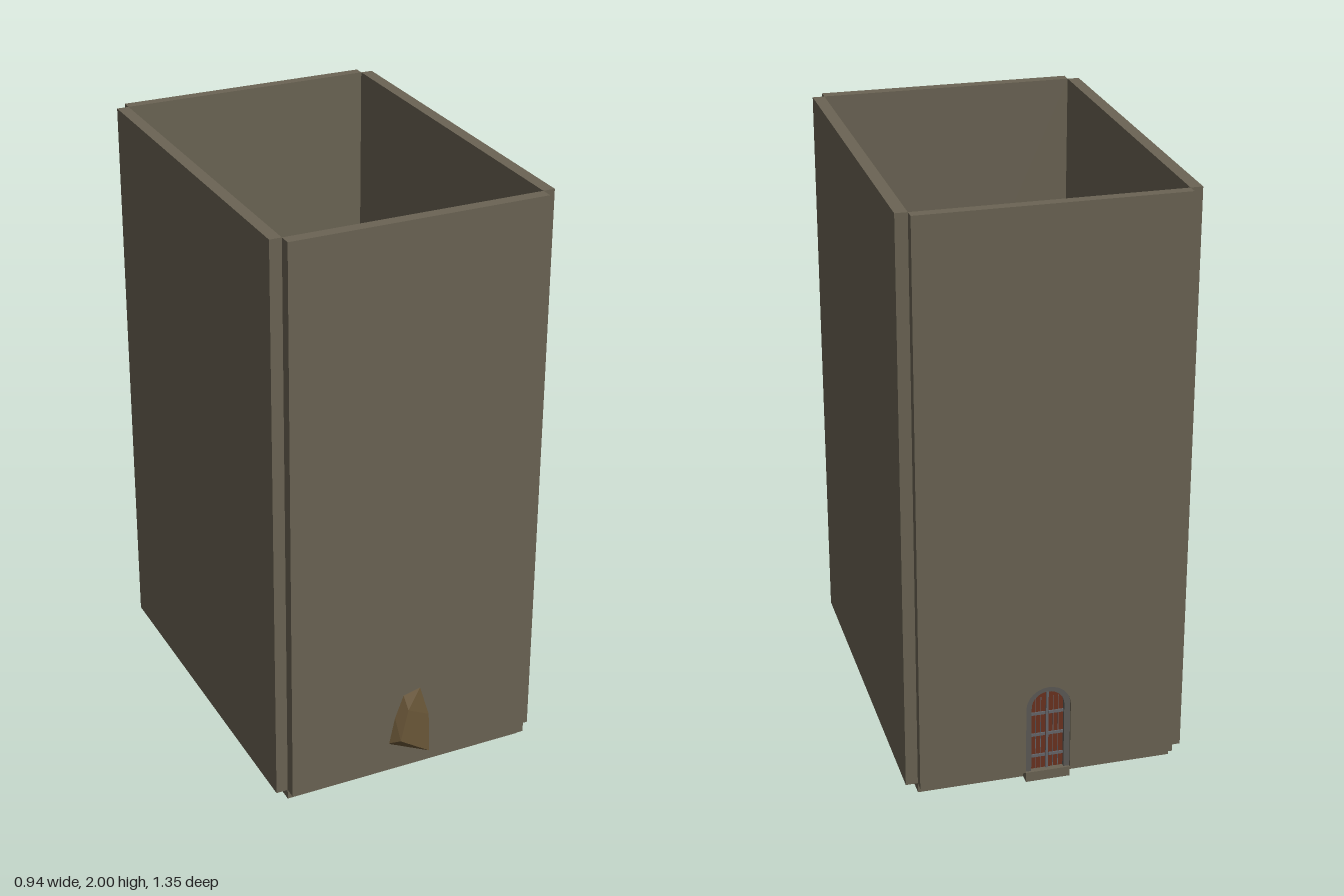
import * as THREE from 'three';
import { ConvexGeometry } from 'three/addons/geometries/ConvexGeometry.js';

const mat = (color) => new THREE.MeshStandardMaterial({ color, flatShading: true });
const stone = mat(0x6b6454), frameStone = mat(0x5c5a56), wood = mat(0x6b3220);
const iron = mat(0x66666a), rock = mat(0x6a5738);

const FLOOR = 0.05, SPRING = 0.29, OPENING = 0.075;

function mesh(name, geometry, material) {
  const m = new THREE.Mesh(geometry, material);
  m.name = name;
  return m;
}

// Box given by its minimum and maximum corners
function box(name, min, max, material) {
  const size = max.map((v, i) => v - min[i]);
  const m = mesh(name, new THREE.BoxGeometry(...size), material);
  m.position.set(...max.map((v, i) => (v + min[i]) / 2));
  return m;
}

// Round-headed doorway outline standing on the floor
function arch(target, r) {
  target.moveTo(-r, FLOOR);
  target.lineTo(r, FLOOR);
  target.lineTo(r, SPRING);
  target.absarc(0, SPRING, r, 0, Math.PI, false);
  target.lineTo(-r, FLOOR);
  return target;
}

function extrude(name, shape, z0, z1, material) {
  const g = new THREE.ExtrudeGeometry(shape, { depth: z1 - z0, bevelEnabled: false, curveSegments: 8 });
  const m = mesh(name, g, material);
  m.position.z = z0;
  return m;
}

// Arched band with an opening; the foot stays open
function archBand(name, outer, inner, z0, z1) {
  const s = new THREE.Shape();
  s.moveTo(inner, FLOOR);
  s.lineTo(outer, FLOOR);
  s.lineTo(outer, SPRING);
  s.absarc(0, SPRING, outer, 0, Math.PI, false);
  s.lineTo(-outer, FLOOR);
  s.lineTo(-inner, FLOOR);
  s.lineTo(-inner, SPRING);
  s.absarc(0, SPRING, inner, Math.PI, 0, true);
  s.lineTo(inner, FLOOR);
  return extrude(name, s, z0, z1, frameStone);
}

function createDoor() {
  const door = new THREE.Group();
  door.name = 'door';
  // Two leaves, each half of the arch
  for (const side of [-1, 1]) {
    const r = 0.056, gap = 0.003;
    const s = new THREE.Shape();
    s.moveTo(side * gap, FLOOR);
    s.lineTo(side * r, FLOOR);
    s.lineTo(side * r, SPRING);
    s.absarc(0, SPRING, r, side > 0 ? 0 : Math.PI, Math.PI / 2, side < 0);
    s.lineTo(side * gap, FLOOR);
    door.add(extrude('doorLeaf', s, -0.655, -0.64, wood));
    // Plank seams and iron straps on the outside
    for (const x of [0.021, 0.038]) {
      door.add(box('plankSeam', [side * x - 0.001, FLOOR, -0.657], [side * x + 0.001, 0.32, -0.654], iron));
    }
    for (const y of [0.1, 0.18, 0.26]) {
      const xs = [side * 0.006, side * r].sort((a, b) => a - b);
      door.add(box('doorStrap', [xs[0], y - 0.005, -0.659], [xs[1], y + 0.005, -0.654], iron));
    }
  }
  door.add(box('centrePost', [-0.004, FLOOR, -0.661], [0.004, 0.345, -0.64], iron));
  return door;
}

function createBoulder() {
  const points = [
    // outer face, breaking through the wall
    [-0.05, 0.17, 0.675], [-0.02, 0.28, 0.668], [-0.03, 0.33, 0.65], [0.03, 0.345, 0.65],
    [0.065, 0.23, 0.65], [0.07, 0.08, 0.65], [-0.08, 0.155, 0.65], [-0.06, 0.25, 0.65],
    // broad middle
    [-0.175, 0.19, 0.555], [-0.16, 0.26, 0.52], [-0.13, 0.1, 0.59], [-0.12, 0.31, 0.58],
    [0.21, 0.17, 0.53], [0.19, 0.24, 0.56], [0.15, 0.1, 0.59], [0.14, 0.3, 0.55], [0.17, 0.1, 0.5],
    // inner face
    [0.01, 0.2, 0.46], [0.09, 0.17, 0.467], [-0.07, 0.16, 0.48], [-0.11, 0.1, 0.49], [0.05, 0.3, 0.48],
    // crown and foot
    [0, 0.39, 0.55], [0.07, 0.37, 0.56], [-0.06, 0.36, 0.53],
    [-0.04, 0.005, 0.53], [0.08, 0, 0.55], [0.14, 0.01, 0.54], [0.03, 0.005, 0.51],
  ].map((p) => new THREE.Vector3(...p));
  return mesh('boulder', new ConvexGeometry(points), rock);
}

export function createModel() {
  const model = new THREE.Group();
  model.name = 'stoneChamber';

  // Floor slab and the sill beneath the door
  model.add(box('floor', [-0.43, 0.015, -0.64], [0.43, FLOOR, 0.61], stone));
  model.add(box('doorSill', [-OPENING, 0.015, -0.675], [OPENING, FLOOR, -0.64], stone));

  // Walls
  for (const side of [-1, 1]) {
    const wall = box('sideWall', [-0.02, FLOOR, -0.64], [0.02, 2, 0.61], stone);
    wall.position.x = side * 0.45;
    model.add(wall);
  }
  model.add(box('frontWall', [-0.43, FLOOR, 0.61], [0.43, 2, 0.65], stone));

  // Back wall, notched by the doorway
  const s = new THREE.Shape();
  s.moveTo(OPENING, FLOOR);
  s.lineTo(0.43, FLOOR);
  s.lineTo(0.43, 2);
  s.lineTo(-0.43, 2);
  s.lineTo(-0.43, FLOOR);
  s.lineTo(-OPENING, FLOOR);
  s.lineTo(-OPENING, SPRING);
  s.absarc(0, SPRING, OPENING, Math.PI, 0, true);
  s.lineTo(OPENING, FLOOR);
  model.add(extrude('backWall', s, -0.675, -0.64, stone));

  // Door with its lining, and a raised arch on both end walls
  model.add(archBand('doorLining', OPENING, 0.055, -0.668, -0.625));
  model.add(createDoor());
  model.add(archBand('backArch', 0.125, OPENING, -0.64, -0.62));
  model.add(archBand('frontArch', 0.125, OPENING, 0.59, 0.61));
  model.add(extrude('blockedDoorway', arch(new THREE.Shape(), OPENING), 0.6, 0.61, wood));

  // Boulder blocking the front doorway
  model.add(createBoulder());
  return model;
}
